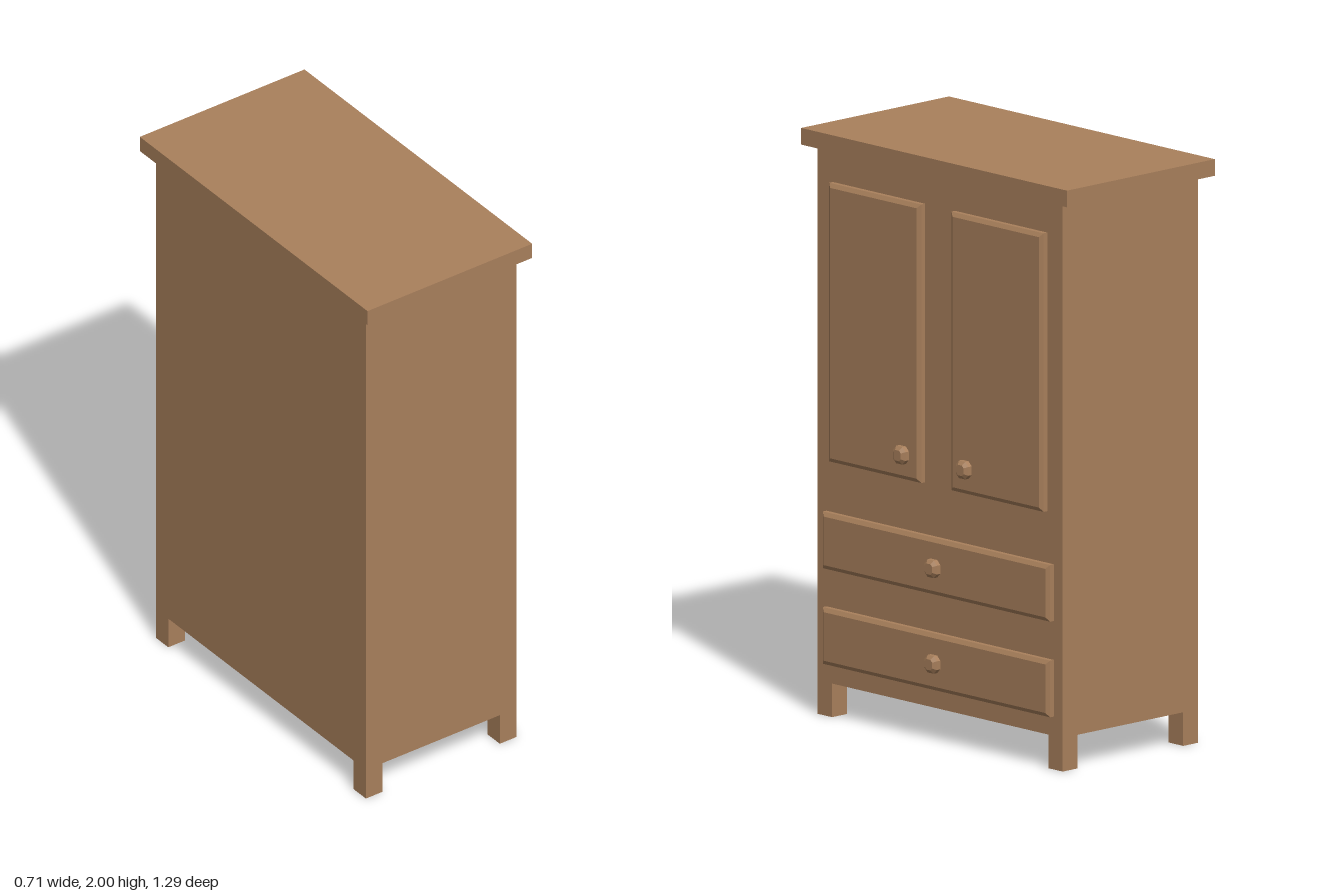
import * as THREE from 'three';

const wood = new THREE.MeshStandardMaterial({ color: 0xa9805c });
wood.name = 'wood';

// Box given by its limits on each axis
function box(name, [x0, x1], [y0, y1], [z0, z1]) {
  const mesh = new THREE.Mesh(new THREE.BoxGeometry(x1 - x0, y1 - y0, z1 - z0), wood);
  mesh.name = name;
  mesh.position.set((x0 + x1) / 2, (y0 + y1) / 2, (z0 + z1) / 2);
  return mesh;
}

// Bevelled block facing +x; cut is the corner chamfer of its outline
function bevelled(name, [x0, x1], y, z, height, width, bevel, thickness, cut = 0) {
  const w = width / 2 - bevel, h = height / 2 - bevel;
  const points = [];
  for (const [sx, sy] of [[1, -1], [1, 1], [-1, 1], [-1, -1]]) {
    const a = new THREE.Vector2(sx * (w - cut), sy * h);
    const b = new THREE.Vector2(sx * w, sy * (h - cut));
    if (!cut) points.push(b);
    else if (sx * sy < 0) points.push(a, b);
    else points.push(b, a);
  }
  const geometry = new THREE.ExtrudeGeometry(new THREE.Shape(points), {
    depth: x1 - x0 - 2 * thickness, bevelEnabled: true, bevelSegments: 1,
    bevelSize: bevel, bevelThickness: thickness,
  });
  geometry.translate(0, 0, thickness);
  geometry.rotateY(Math.PI / 2);
  const mesh = new THREE.Mesh(geometry, wood);
  mesh.name = name;
  mesh.position.set(x0, y, z);
  return mesh;
}

const knob = (y, z) => bevelled('knob', [0.315, 0.351], y, z, 0.06, 0.06, 0.012, 0.01, 0.008);

export function createModel() {
  const model = new THREE.Group();
  model.name = 'wardrobe';

  // Carcass and overhanging top
  model.add(box('cabinetBody', [-0.325, 0.297], [0.115, 1.943], [-0.593, 0.593]));
  model.add(box('topBoard', [-0.355, 0.325], [1.943, 2], [-0.643, 0.643]));

  // Four corner legs
  for (const s of [-1, 1]) {
    const z = s > 0 ? [0.523, 0.593] : [-0.593, -0.523];
    model.add(box('backLeg', [-0.325, -0.257], [0, 0.115], z));
    model.add(box('frontLeg', [0.228, 0.297], [0, 0.115], z));

    // Door and its knob
    model.add(bevelled('door', [0.285, 0.323], 1.355, s * 0.296, 0.953, 0.446, 0.014, 0.009));
    model.add(knob(0.965, s * 0.152));
  }

  // Drawers with central knobs
  for (const y of [0.605, 0.278]) {
    model.add(bevelled('drawer', [0.285, 0.323], y, 0, 0.194, 1.1, 0.014, 0.009));
    model.add(knob(y - 0.003, 0));
  }
  return model;
}
